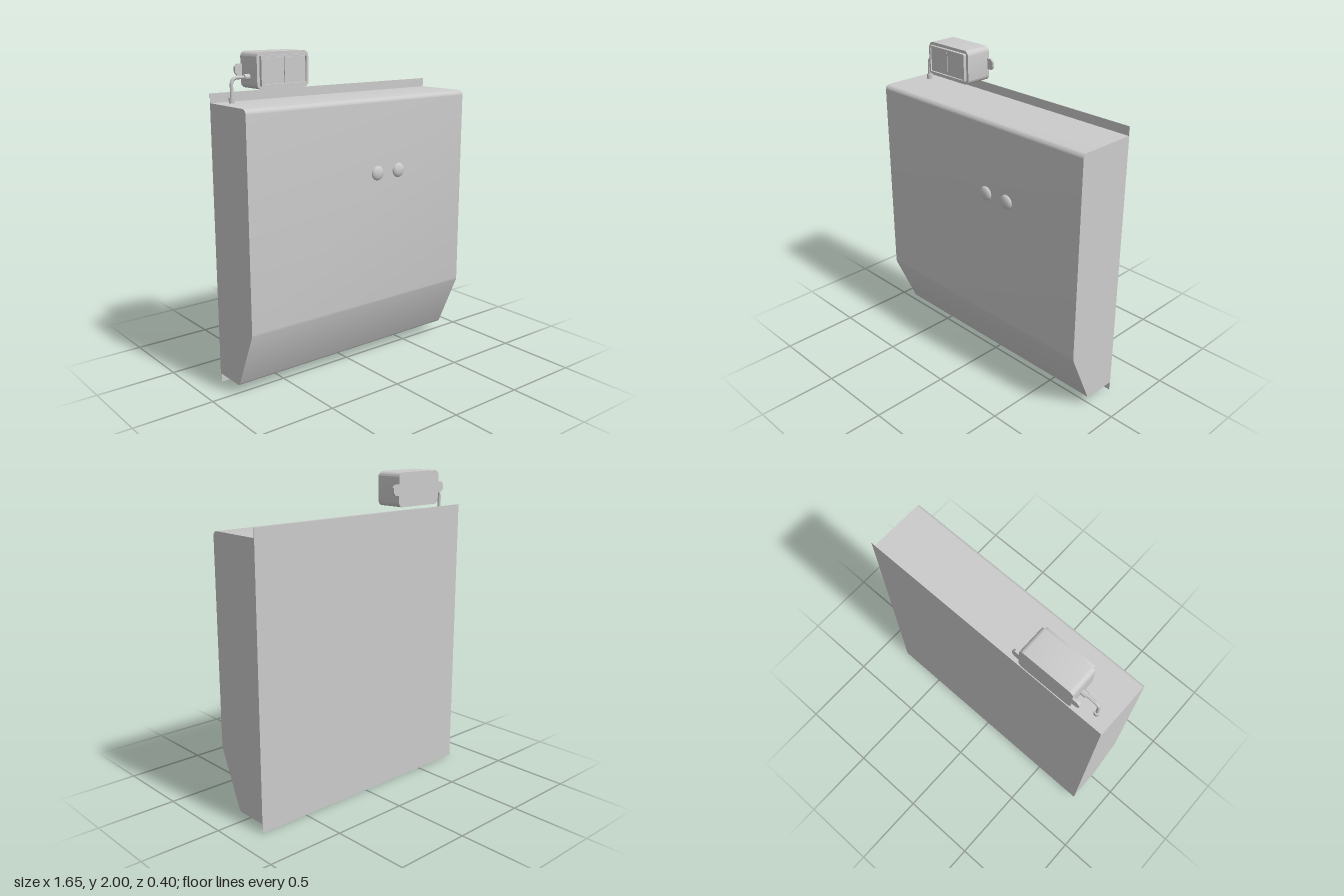
import * as THREE from 'three';
import { toCreasedNormals } from 'three/addons/utils/BufferGeometryUtils.js';

export function createModel() {
  const model = new THREE.Group();
  const material = new THREE.MeshStandardMaterial({ color: 0xcccccc });

  const add = (name, geometry, x = 0, y = 0, z = 0) => {
    const mesh = new THREE.Mesh(geometry, material);
    mesh.name = name;
    mesh.position.set(x, y, z);
    model.add(mesh);
    return mesh;
  };
  const extrude = (shape, depth) => new THREE.ExtrudeGeometry(shape, { depth, bevelEnabled: false, curveSegments: 6 });

  // Rectangle with rounded corners, centred on the origin
  const roundedRect = (w, h, r) => {
    const s = new THREE.Shape();
    const x = w / 2 - r, y = h / 2 - r;
    s.absarc(x, y, r, 0, Math.PI / 2);
    s.absarc(-x, y, r, Math.PI / 2, Math.PI);
    s.absarc(-x, -y, r, Math.PI, Math.PI * 1.5);
    s.absarc(x, -y, r, Math.PI * 1.5, Math.PI * 2);
    s.closePath();
    return s;
  };

  // Wall plate
  add('backPlate', new THREE.BoxGeometry(1.655, 1.77, 0.004), 0, 0.885, -0.198);

  // Cabinet: side profile (z, y) swept across the width
  const width = 1.655;
  const profile = new THREE.Shape();
  profile.moveTo(-0.197, 0.057);
  profile.lineTo(0.005, 0.057);
  profile.quadraticCurveTo(0.018, 0.057, 0.026, 0.072);
  profile.lineTo(0.178, 0.415);
  profile.lineTo(0.18, 0.43);
  profile.lineTo(0.18, 1.685);
  profile.absarc(0.15, 1.685, 0.03, 0, Math.PI / 2);
  profile.lineTo(-0.197, 1.715);
  profile.closePath();
  const cabinet = extrude(profile, width).translate(0, 0, -width / 2).rotateY(-Math.PI / 2);
  add('cabinet', toCreasedNormals(cabinet, 0.6));

  // Domed buttons on the front
  const dome = [[0.045, -0.005], [0.045, 0.004], [0.04, 0.012], [0.028, 0.018], [0.014, 0.021], [0, 0.022]]
    .map(([r, h]) => new THREE.Vector2(r, h));
  for (const x of [0.1, 0.27]) {
    add('button', new THREE.LatheGeometry(dome, 24).rotateX(Math.PI / 2), x, 1.255, 0.18);
  }

  // Switch box standing behind the top edge
  const bx = -0.442, by = 1.895;
  add('switchBox', toCreasedNormals(extrude(roundedRect(0.355, 0.21, 0.032), 0.175), 0.6), bx, by, -0.2);

  // Raised bezel with a rectangular window
  const bezel = roundedRect(0.32, 0.174, 0.008);
  bezel.holes.push(new THREE.Path(roundedRect(0.298, 0.152, 0.003).getPoints(4)));
  add('switchBezel', toCreasedNormals(extrude(bezel, 0.02), 0.6), bx, by, -0.025);

  // Two rocker panels inside the bezel
  for (const side of [-1, 1]) {
    add('switchRocker', new THREE.BoxGeometry(0.145, 0.148, 0.012), bx + side * 0.0745, by, -0.019);
  }

  // Mounting ears on both sides of the box
  for (const side of [-1, 1]) {
    const ear = new THREE.Shape([[-0.01, -0.033], [0.03, -0.033], [0.046, -0.017],
      [0.046, 0.017], [0.03, 0.033], [-0.01, 0.033]].map(([x, y]) => new THREE.Vector2(x, y)));
    const geometry = extrude(ear, 0.015);
    if (side < 0) geometry.translate(0, 0, -0.0075).rotateY(Math.PI).translate(0, 0, 0.0075);
    add('mountingEar', geometry, bx + side * 0.1775, by, -0.2);
  }

  // Cable with a rounded elbow, running from the box into the cabinet
  const cz = -0.113, cx = -0.735, cy = 1.857;
  const path = new THREE.CurvePath();
  const v = (x, y) => new THREE.Vector3(x, y, cz);
  path.add(new THREE.LineCurve3(v(-0.625, cy), v(cx + 0.04, cy)));
  path.add(new THREE.QuadraticBezierCurve3(v(cx + 0.04, cy), v(cx, cy), v(cx, cy - 0.04)));
  path.add(new THREE.LineCurve3(v(cx, cy - 0.04), v(cx, 1.715)));
  add('cable', new THREE.TubeGeometry(path, 40, 0.01, 10));

  // Cable glands at both ends and the outlet under the cabinet
  const gland = (h) => new THREE.CylinderGeometry(0.018, 0.018, h, 16);
  add('boxGland', gland(0.036).rotateZ(Math.PI / 2), -0.635, cy, cz);
  add('cabinetGland', gland(0.035), cx, 1.73, cz);
  add('bottomOutlet', gland(0.03), -0.588, 0.048, -0.17);

  return model;
}
